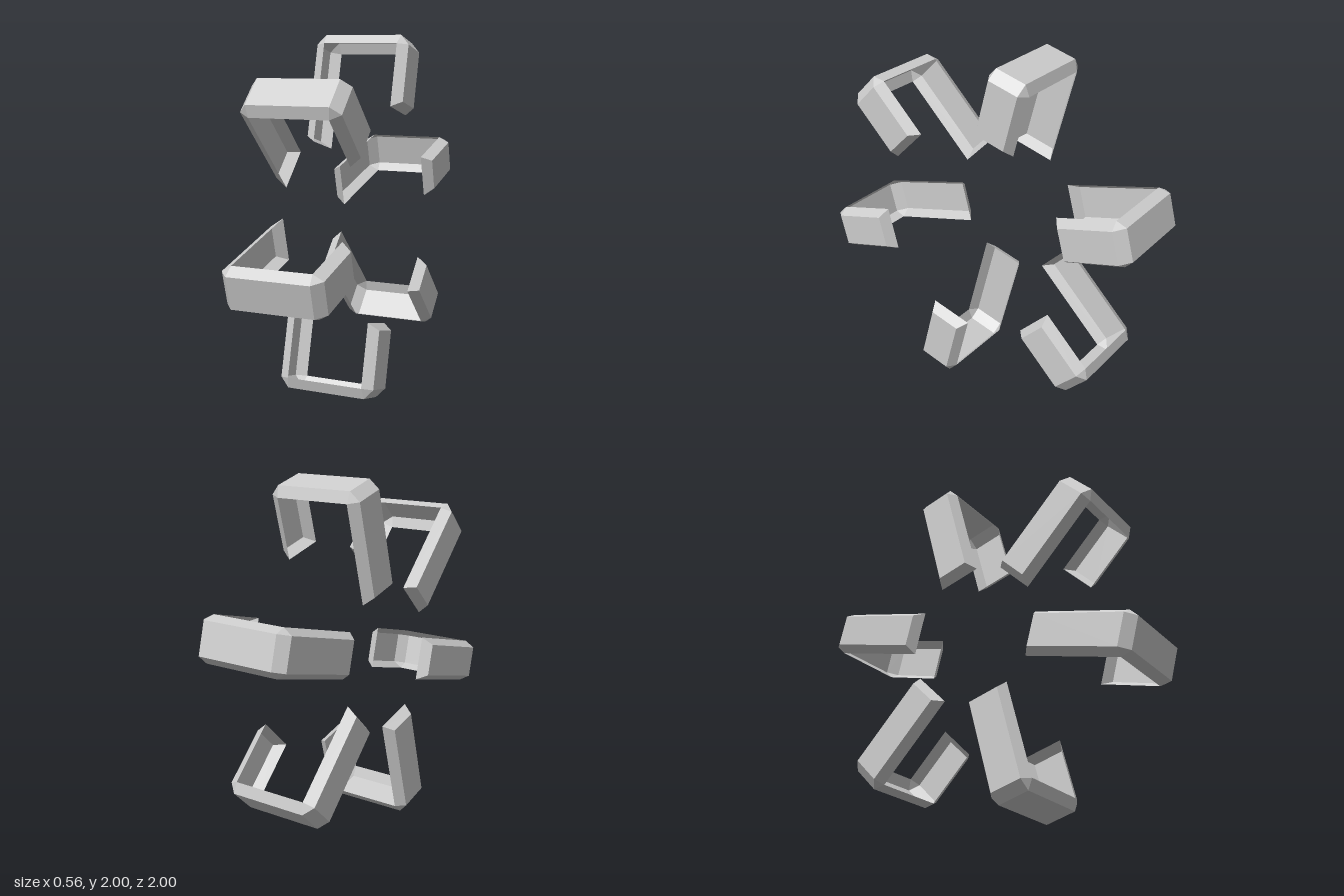
import * as THREE from 'three';

// Bracket path in (x, radius): back plate line and wide open rim line
const PLATE = [[-0.28, 0.42], [-0.28, 0.955], [-0.23, 1.01], [0.23, 1.01], [0.28, 0.955], [0.28, 0.632]];
const RIM = [[-0.222, 0.384], [-0.222, 0.953], [-0.222, 0.953], [0.222, 0.953], [0.222, 0.953], [0.222, 0.597]];
const PLATE_HALF = 0.091;
const RIM_HALF = 0.125;

// Hook-shaped channel: narrow back plate, flared walls, open on the inside
function bracketGeometry() {
  const positions = [];
  const plate = (i, side) => new THREE.Vector3(...PLATE[i], side * PLATE_HALF);
  const rim = (i, side) => new THREE.Vector3(...RIM[i], side * RIM_HALF);
  const tri = (a, b, c) => {
    if (a.equals(b) || b.equals(c) || c.equals(a)) return;
    for (const p of [a, b, c]) positions.push(p.x, p.y, p.z);
  };
  const quad = (a, b, c, d) => { tri(a, b, c); tri(a, c, d); };

  const last = PLATE.length - 1;
  for (let i = 0; i < last; i++) {
    const j = i + 1;
    quad(plate(i, -1), plate(i, 1), plate(j, 1), plate(j, -1));
    quad(plate(i, 1), rim(i, 1), rim(j, 1), plate(j, 1));
    quad(plate(j, -1), rim(j, -1), rim(i, -1), plate(i, -1));
  }
  // sloped end walls of the long and the short leg
  quad(plate(0, -1), rim(0, -1), rim(0, 1), plate(0, 1));
  quad(rim(last, -1), plate(last, -1), plate(last, 1), rim(last, 1));

  const geometry = new THREE.BufferGeometry();
  geometry.setAttribute('position', new THREE.Float32BufferAttribute(positions, 3));
  geometry.computeVertexNormals();
  return geometry;
}

export function createModel() {
  const model = new THREE.Group();
  model.name = 'bracketRing';
  const material = new THREE.MeshStandardMaterial({
    color: 0xcccccc, flatShading: true, side: THREE.DoubleSide,
  });
  const geometry = bracketGeometry();

  // Six brackets spaced evenly around the x axis
  for (let i = 0; i < 6; i++) {
    const bracket = new THREE.Mesh(geometry, material);
    bracket.name = `bracket${i + 1}`;
    bracket.position.y = 1;
    bracket.rotation.x = -THREE.MathUtils.degToRad(15 + i * 60);
    model.add(bracket);
  }
  return model;
}
